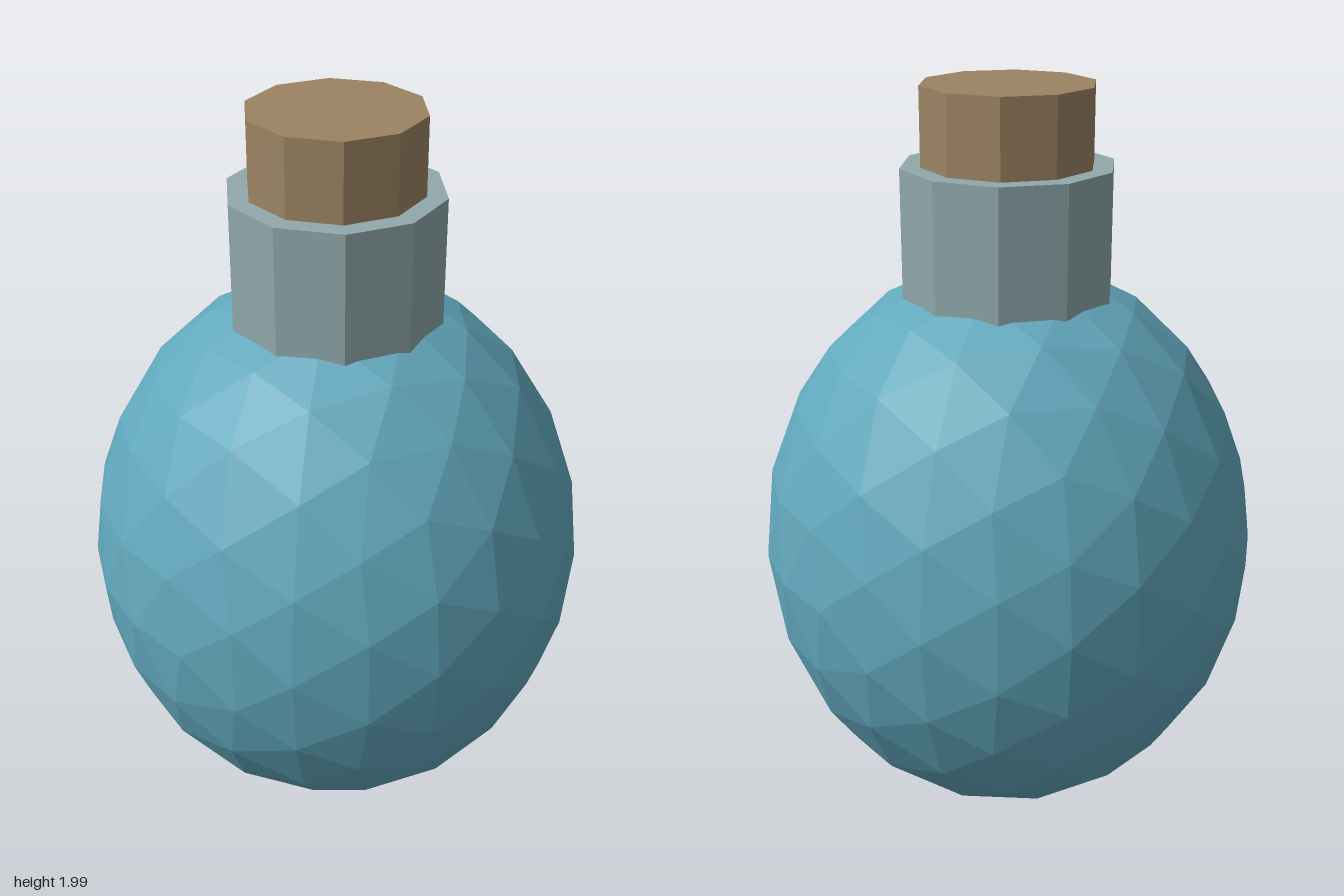
import * as THREE from 'three';

const material = (name, color) => {
  const m = new THREE.MeshStandardMaterial({ color, flatShading: true });
  m.name = name;
  return m;
};

// Faceted ball: each triangle is split in four and pushed out to the unit sphere
function icosphere(levels) {
  let geometry = new THREE.IcosahedronGeometry(1, 0);
  for (let l = 0; l < levels; l++) {
    const p = geometry.attributes.position;
    const points = [];
    for (let i = 0; i < p.count; i += 3) {
      const [a, b, c] = [0, 1, 2].map((k) => new THREE.Vector3().fromBufferAttribute(p, i + k));
      const mid = (u, v) => u.clone().add(v).normalize();
      const ab = mid(a, b), bc = mid(b, c), ca = mid(c, a);
      points.push(a, ab, ca, ab, b, bc, ca, bc, c, ab, bc, ca);
    }
    geometry = new THREE.BufferGeometry().setFromPoints(points);
  }
  return geometry;
}

// Ten-sided upright prism between two heights, corners on the x axis
function prism(radius, bottom, top) {
  return new THREE.CylinderGeometry(radius, radius, top - bottom, 10)
    .rotateY(Math.PI / 2)
    .translate(0, (top + bottom) / 2, 0);
}

export function createModel() {
  const model = new THREE.Group();
  model.name = 'flask';
  const add = (name, geometry, mat) => {
    geometry.computeVertexNormals();
    const mesh = new THREE.Mesh(geometry, mat);
    mesh.name = name;
    model.add(mesh);
  };

  // Slightly tall round body
  const body = icosphere(2).scale(0.665, 0.769, 0.665).translate(0, 0.775, 0);
  add('body', body, material('blue liquid', 0x62a8bd));

  // Neck sunk into the body, with the stopper set in it
  add('neck', prism(0.278, 1.36, 1.8), material('grey glass', 0x90a8ab));
  add('stopper', prism(0.225, 1.7, 2), material('cork', 0x9c8463));

  return model;
}
